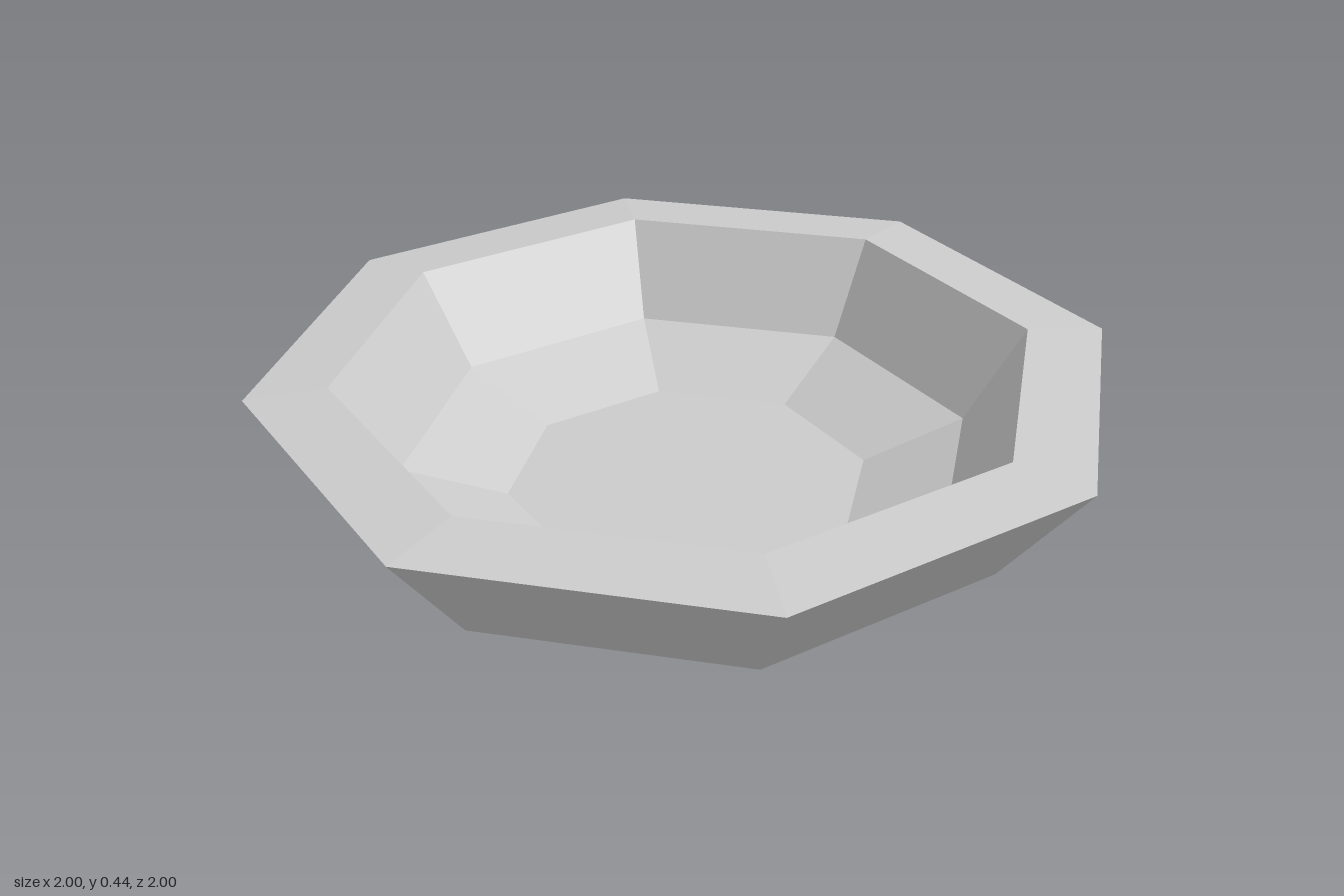
import * as THREE from 'three';

export function createModel() {
  const group = new THREE.Group();
  group.name = 'bowl';
  const material = new THREE.MeshStandardMaterial({ color: 0xcccccc, flatShading: true });

  // Closed wall section: underside centre, outer wall, rim, inner wall, floor centre
  const profile = [
    [0, 0], [0.32, 0], [0.8, 0.15], [1, 0.42],
    [0.813, 0.435], [0.672, 0.208], [0.43, 0.116], [0, 0.116],
  ].map(([r, y]) => new THREE.Vector2(r, y));

  // Eight-sided bowl with corners on the x and z axes
  const bowl = new THREE.Mesh(new THREE.LatheGeometry(profile, 8), material);
  bowl.name = 'octagonalBowl';
  group.add(bowl);
  return group;
}
